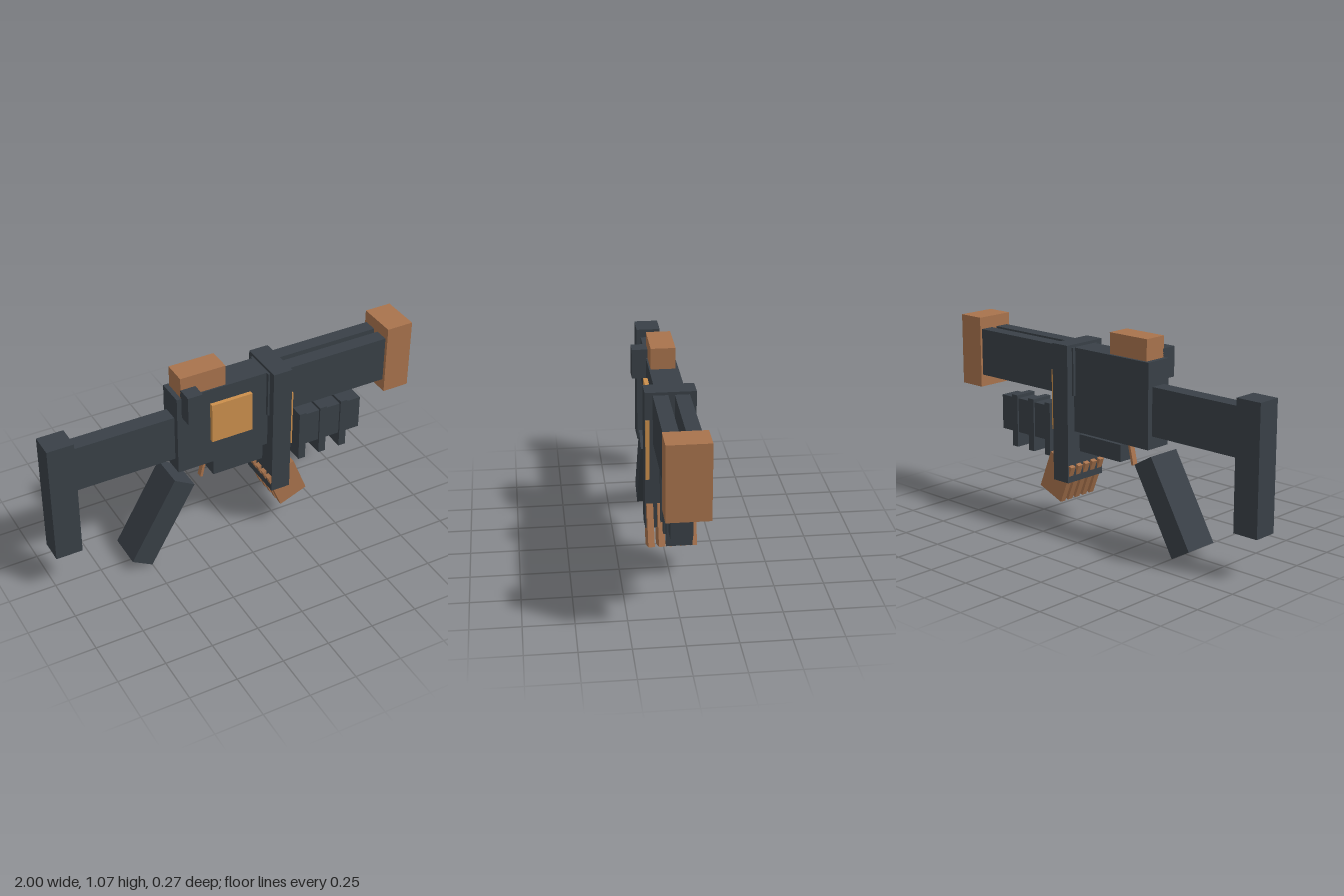
import * as THREE from 'three';

export function createModel() {
  const group = new THREE.Group();
  const makeMat = (name, color) => {
    const m = new THREE.MeshStandardMaterial({ color });
    m.name = name;
    return m;
  };
  const steel = makeMat('dark steel', 0x394047);
  const wood = makeMat('brown wood', 0xa8734d);
  const brass = makeMat('brass', 0xcb8f4c);

  // Box given by its [min, max] extents on each axis
  const block = (name, mat, [x0, x1], [y0, y1], [z0, z1]) => {
    const mesh = new THREE.Mesh(new THREE.BoxGeometry(x1 - x0, y1 - y0, z1 - z0), mat);
    mesh.position.set((x0 + x1) / 2, (y0 + y1) / 2, (z0 + z1) / 2);
    mesh.name = name;
    group.add(mesh);
    return mesh;
  };
  // Box given by its centre and size, tilted in the side plane
  const tilted = (name, mat, [x, y, z], [w, h, d], degrees) => {
    const mesh = block(name, mat, [x - w / 2, x + w / 2], [y - h / 2, y + h / 2], [z - d / 2, z + d / 2]);
    mesh.rotation.z = THREE.MathUtils.degToRad(degrees);
  };

  // Shoulder stock
  block('buttPlate', steel, [-1, -0.86], [0.22, 0.88], [-0.076, 0.052]);
  block('stock', steel, [-0.86, -0.325], [0.585, 0.835], [-0.055, 0.03]);

  // Receiver with its top sight, side knob and panel
  block('receiver', steel, [-0.325, 0.18], [0.52, 0.96], [-0.085, 0.063]);
  block('sight', wood, [-0.3, -0.055], [0.95, 1.07], [-0.07, 0.055]);
  block('sideKnob', steel, [-0.3, -0.22], [0.85, 1.005], [0.05, 0.135]);
  block('sidePanel', brass, [-0.145, 0.08], [0.66, 0.88], [0.06, 0.085]);

  // Tall band around the receiver front, with brass strips on both edges
  block('band', steel, [0.18, 0.285], [0.25, 0.975], [-0.133, 0.119]);
  block('bandStripLeft', brass, [0.2, 0.295], [0.52, 0.833], [0.097, 0.117]);
  block('bandStripRight', brass, [0.2, 0.295], [0.52, 0.833], [-0.131, -0.111]);

  // Twin barrels and muzzle
  block('barrelFront', steel, [0.17, 0.86], [0.71, 0.96], [0.005, 0.08]);
  block('barrelBack', steel, [0.17, 0.86], [0.71, 0.96], [-0.1, -0.027]);
  block('muzzle', wood, [0.855, 1], [0.645, 1.023], [-0.112, 0.098]);

  // Ribbed foregrip
  block('foregrip', steel, [0.38, 0.745], [0.425, 0.612], [-0.061, 0.046]);
  for (const x of [0.395, 0.517, 0.641]) {
    block('foregripRib', steel, [x - 0.02, x + 0.02], [0.345, 0.629], [-0.07, 0.056]);
  }

  // Grip, trigger and guard
  tilted('grip', steel, [-0.43, 0.25, -0.006], [0.125, 0.5, 0.189], -30);
  tilted('trigger', wood, [-0.153, 0.465, -0.01], [0.014, 0.14, 0.03], -13);
  block('triggerGuard', steel, [-0.115, 0.17], [0.41, 0.5], [-0.057, 0.033]);

  // Fan of five magazine slats
  for (let i = 0; i < 5; i++) {
    tilted('magazineSlat', wood, [0.275, 0.265, 0.098 - i * 0.0526], [0.162, 0.215, 0.032], 21.8);
  }

  return group;
}
